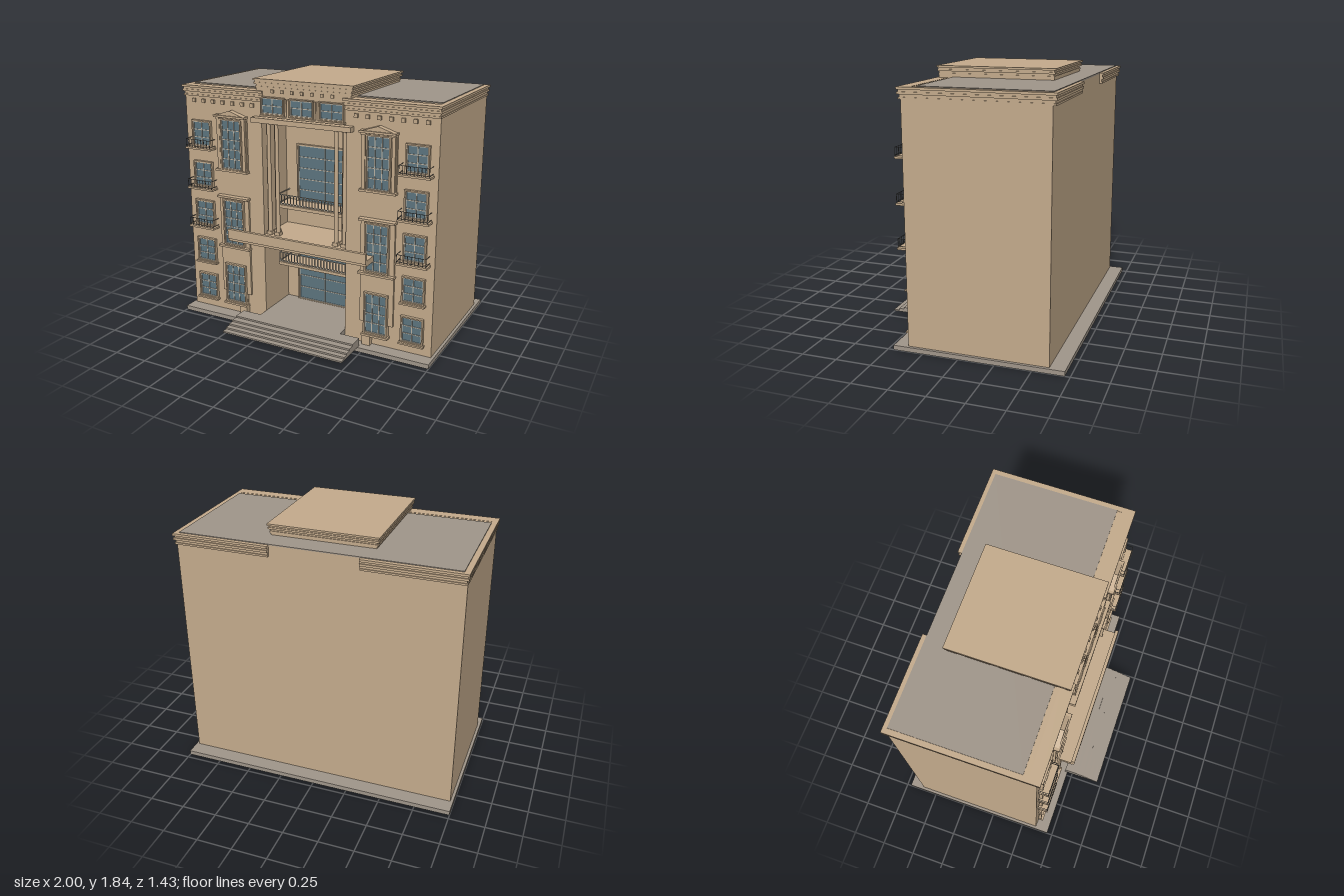
import * as THREE from 'three';

const mat = (name, color) => {
  const m = new THREE.MeshStandardMaterial({ color });
  m.name = name;
  return m;
};

export function createModel() {
  const root = new THREE.Group();
  root.name = 'building';
  const stone = mat('tan stone', 0xc4ab8c);
  const grey = mat('grey paving', 0xa0968a);
  const glass = mat('blue glass', 0x5d757f);
  const bar = mat('pale glazing bar', 0xb9b2a4);
  const metal = mat('dark railing', 0x5c5c5a);

  const add = (name, geo, m, parent = root) => {
    const mesh = new THREE.Mesh(geo, m);
    mesh.name = name;
    parent.add(mesh);
    return mesh;
  };
  // Box given by its extents
  const box = (name, x0, x1, y0, y1, z0, z1, m = stone, parent = root) => {
    const mesh = add(name, new THREE.BoxGeometry(x1 - x0, y1 - y0, z1 - z0), m, parent);
    mesh.position.set((x0 + x1) / 2, (y0 + y1) / 2, (z0 + z1) / 2);
    return mesh;
  };
  const group = (name) => {
    const g = new THREE.Group();
    g.name = name;
    root.add(g);
    return g;
  };

  // Window: frame border, glass and glazing bars on a wall at depth z
  const windowUnit = (name, x, w, y0, y1, z, cols, rows, border = 0.01) => {
    const g = group(name);
    const a = x - w / 2, b = x + w / 2, f = z + 0.022;
    box('jamb', a - border, a, y0 - border, y1 + border, z, f, stone, g);
    box('jamb', b, b + border, y0 - border, y1 + border, z, f, stone, g);
    box('head', a, b, y1, y1 + border, z, f, stone, g);
    box('foot', a, b, y0 - border, y0, z, f, stone, g);
    box('pane', a, b, y0, y1, z, z + 0.009, glass, g);
    const t = 0.003;
    for (let i = 0; i <= cols; i++) {
      const px = a + t + (w - 2 * t) * i / cols;
      box('glazingBar', px - t, px + t, y0, y1, z + 0.009, z + 0.014, bar, g);
    }
    for (let i = 0; i <= rows; i++) {
      const py = y0 + t + (y1 - y0 - 2 * t) * i / rows;
      box('glazingBar', a, b, py - t, py + t, z + 0.009, z + 0.0135, bar, g);
    }
  };

  // Railing: top and bottom rails, balusters and optional side returns
  const railing = (name, x0, x1, y0, y1, zBack, zFront, count, m, t = 0.002) => {
    const g = group(name);
    for (const y of [y0 + 0.01, y1 - t]) {
      box('rail', x0, x1, y - t, y + t, zFront - 2 * t, zFront, m, g);
      for (const x of [x0 + t, x1 - t]) box('sideRail', x - t, x + t, y - t, y + t, zBack, zFront, m, g);
    }
    for (let i = 0; i <= count; i++) {
      const x = x0 + t + (x1 - x0 - 2 * t) * i / count;
      box('baluster', x - t, x + t, y0, y1, zFront - 2 * t, zFront, m, g);
    }
  };

  // Plinth and main masses around the central recess
  box('plinth', -1, 1, 0, 0.032, -0.715, 0.46, grey);
  box('rearBlock', -0.98, 0.98, 0.032, 1.75, -0.61, 0.03);
  box('centralAttic', -0.33, 0.33, 1.53, 1.75, 0.03, 0.36);
  for (const s of [-1, 1]) {
    const c = s * 0.655;
    box('frontWing', c - 0.325, c + 0.325, 0.032, 1.75, 0.03, 0.36);
  }

  // Main cornice in stepped bands, broken at the middle of the back
  const bands = [[1.675, 1.688, 0.984], [1.688, 1.706, 0.978], [1.706, 1.722, 0.99], [1.722, 1.736, 0.983], [1.736, 1.752, 0.993]];
  for (const [y0, y1, x] of bands) {
    const d = x - 0.963;
    for (const s of [-1, 1]) {
      const mid = s * (x + 0.31) / 2, half = (x - 0.31) / 2;
      box('corniceBack', mid - half, mid + half, y0, y1, -0.61 - d, -0.55);
      box('corniceFront', mid - half, mid + half, y0, y1, 0.3, 0.355 + d);
      const e = s * (x - 0.02);
      box('corniceSide', e - 0.02, e + 0.02, y0, y1, -0.55, 0.3);
    }
  }
  box('roofDeck', -0.955, 0.955, 1.745, 1.757, -0.61, 0.265, grey);

  // Raised central roof block with stepped edges
  box('roofBlockFace', -0.365, 0.365, 1.675, 1.78, -0.45, 0.368);
  for (const [y0, y1, x] of [[1.77, 1.783, 0.372], [1.783, 1.797, 0.366], [1.797, 1.81, 0.38], [1.81, 1.822, 0.374], [1.822, 1.835, 0.385]])
    box('roofBlockCornice', -x, x, y0, y1, -0.465 + (0.385 - x), 0.375 - (0.385 - x) * 0.5);

  // Dentils
  for (let i = 0; i < 8; i++)
    for (const s of [-1, 1]) {
      const x = s * (0.9 - i * 0.083);
      if (Math.abs(x) > 0.38) box('dentil', x - 0.013, x + 0.013, 1.63, 1.657, 0.36, 0.375);
    }
  for (let i = -3; i <= 3; i++) box('atticDentil', i * 0.077 - 0.011, i * 0.077 + 0.011, 1.743, 1.766, 0.368, 0.378);

  // Attic windows with paired small columns
  for (const x of [-0.228, 0, 0.228]) windowUnit('atticWindow', x, 0.17, 1.6, 1.708, 0.368, 2, 2, 0.008);
  for (const c of [-0.114, 0.114])
    for (const d of [-0.009, 0.009]) {
      const p = add('atticColumn', new THREE.CylinderGeometry(0.007, 0.008, 0.12, 10), stone);
      p.position.set(c + d, 1.65, 0.382);
    }
  box('atticSill', -0.325, 0.325, 1.578, 1.59, 0.36, 0.395);
  box('entablature', -0.385, 0.385, 1.535, 1.57, 0.27, 0.415);

  // Tall columns flanking the recess
  for (const s of [-1, 1])
    for (const [x, z] of [[0.235, 0.32], [0.3, 0.32], [0.27, 0.27]]) {
      const shaft = add('column', new THREE.CylinderGeometry(0.013, 0.016, 0.83, 16), stone);
      shaft.position.set(s * x, 1.115, z);
      box('columnBase', s * x - 0.02, s * x + 0.02, 0.7, 0.725, z - 0.02, z + 0.02);
      box('columnCapital', s * x - 0.018, s * x + 0.018, 1.515, 1.535, z - 0.018, z + 0.018);
    }

  // Recess windows, entrance and balconies
  windowUnit('entranceGlazing', 0, 0.44, 0.097, 0.39, 0.03, 2, 3);
  windowUnit('middleGlazing', 0, 0.44, 0.44, 0.64, 0.03, 2, 2);
  windowUnit('upperGlazing', 0, 0.44, 0.89, 1.315, 0.03, 2, 5);
  box('lowerBalcony', -0.305, 0.305, 0.42, 0.442, 0.03, 0.21);
  railing('lowerBalconyRailing', -0.3, 0.3, 0.442, 0.52, 0.03, 0.205, 24, bar, 0.003);
  box('upperBalcony', -0.33, 0.33, 0.865, 0.89, 0.03, 0.2);
  railing('upperBalconyRailing', -0.31, 0.31, 0.89, 0.97, 0.03, 0.195, 24, bar, 0.003);

  // Entrance canopy
  box('canopyFloor', -0.33, 0.33, 0.66, 0.7, 0.03, 0.36);
  box('canopySlab', -0.55, 0.55, 0.66, 0.7, 0.36, 0.495);
  box('canopyParapet', -0.55, 0.55, 0.68, 0.752, 0.482, 0.507);

  // Porch floor and front steps
  box('porchFloor', -0.33, 0.33, 0.032, 0.095, 0.03, 0.44, grey);
  [0.545, 0.595, 0.635, 0.675, 0.715].forEach((z, i) =>
    box('step', -0.48, 0.48, 0.036, 0.095 - i * 0.012, i ? 0.5 : 0.44, z, grey));

  // Side bays and outer windows, mirrored
  for (const s of [-1, 1]) {
    const c = s * 0.575;
    box('stepPier', s * 0.51 - 0.03, s * 0.51 + 0.03, 0.032, 0.12, 0.36, 0.4);
    // Projecting bay panels
    box('bayPanel', c - 0.125, c + 0.125, 0.2, 0.56, 0.36, 0.376);
    box('bayPanel', c - 0.125, c + 0.125, 0.575, 0.945, 0.36, 0.376);
    box('bayPanel', c - 0.125, c + 0.125, 1.165, 1.55, 0.36, 0.376);
    box('bayFoot', c - 0.09, c + 0.09, 0.11, 0.2, 0.36, 0.376);
    windowUnit('lowerBayWindow', c, 0.158, 0.13, 0.42, 0.376, 3, 4);
    windowUnit('middleBayWindow', c, 0.158, 0.59, 0.925, 0.376, 3, 5);
    windowUnit('upperBayWindow', c, 0.158, 1.168, 1.525, 0.376, 3, 5);
    box('baySill', c - 0.1, c + 0.1, 0.105, 0.12, 0.36, 0.41);
    for (const [y0, y1] of [[0.56, 0.575], [0.945, 0.96], [1.148, 1.163]])
      box('bayLedge', c - 0.133, c + 0.133, y0, y1, 0.36, 0.405);
    // Pilasters and pediment around the upper bay window
    for (const d of [-0.107, 0.107]) {
      box('pilaster', c + d - 0.012, c + d + 0.012, 1.163, 1.53, 0.376, 0.392);
      box('pilasterCap', c + d - 0.017, c + d + 0.017, 1.53, 1.545, 0.37, 0.4);
    }
    box('pedimentBase', c - 0.13, c + 0.13, 1.545, 1.56, 0.36, 0.415);
    const tri = new THREE.Shape([new THREE.Vector2(-0.11, 0), new THREE.Vector2(0.11, 0), new THREE.Vector2(0, 0.035)]);
    add('pediment', new THREE.ExtrudeGeometry(tri, { depth: 0.045, bevelEnabled: false }), stone).position.set(c, 1.56, 0.36);

    // Outer windows on five floors, balconies on the upper three
    const w = s * 0.84;
    [[0.12, 0.295], [0.415, 0.585], [0.71, 0.885], [1.01, 1.185], [1.315, 1.49]].forEach(([y0, y1], i) => {
      windowUnit('outerWindow', w, 0.145, y0, y1, 0.362, 2, 3);
      if (i < 2) box('outerSill', w - 0.09, w + 0.09, y0 - 0.02, y0 - 0.008, 0.36, 0.4);
      else {
        box('outerBalcony', w - 0.11, w + 0.11, y0 - 0.023, y0 - 0.009, 0.36, 0.433);
        railing('outerRailing', w - 0.105, w + 0.105, y0 - 0.009, y0 + 0.052, 0.36, 0.43, 8, metal, 0.0015);
      }
    });
  }
  return root;
}
